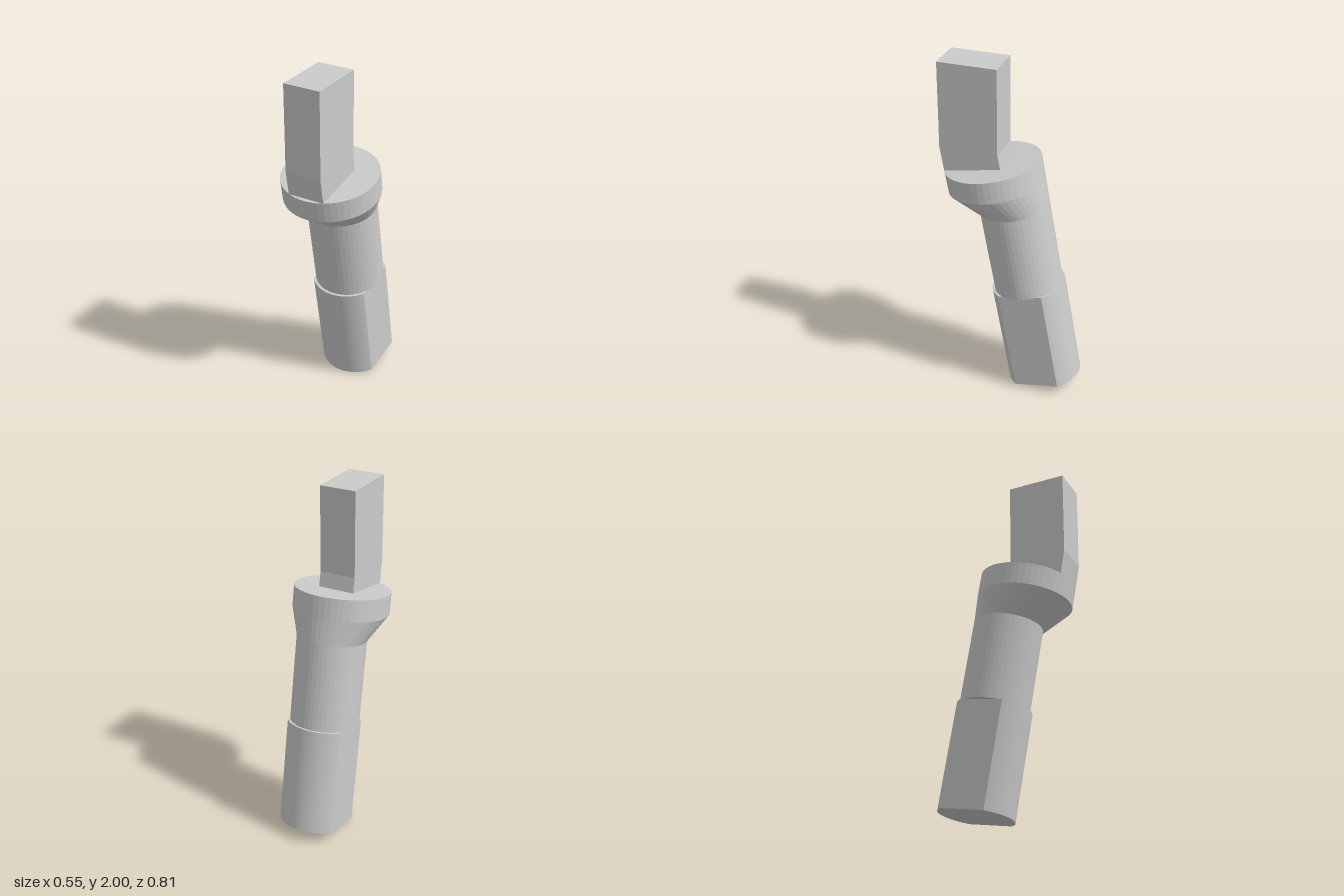
import * as THREE from 'three';

const material = new THREE.MeshStandardMaterial({ color: 0xcccccc, flatShading: true });

function part(name, geometry) {
  const mesh = new THREE.Mesh(geometry, material);
  mesh.name = name;
  return mesh;
}

// Round bar with a flat on each side, extruded upwards
function gripGeometry(radius, flatX, height) {
  const a = Math.acos(flatX / radius);
  const shape = new THREE.Shape();
  shape.absarc(0, 0, radius, a, Math.PI - a, false);
  shape.absarc(0, 0, radius, Math.PI + a, Math.PI * 2 - a, false);
  shape.closePath();
  const geometry = new THREE.ExtrudeGeometry(shape, { depth: height, bevelEnabled: false, curveSegments: 14 });
  return geometry.rotateX(-Math.PI / 2);
}

// Turned shaft that flares into a collar set off towards the front
function shaftGeometry() {
  const low = 1.125, high = 1.272, offset = 0.081;
  const profile = [[0, 0.62], [0.2, 0.62], [0.2, low], [0.276, high], [0.276, 1.398], [0, 1.398]];
  const geometry = new THREE.LatheGeometry(profile.map(([r, y]) => new THREE.Vector2(r, y)), 48);
  const pos = geometry.attributes.position;
  for (let i = 0; i < pos.count; i++) {
    const t = THREE.MathUtils.clamp((pos.getY(i) - low) / (high - low), 0, 1);
    pos.setZ(i, pos.getZ(i) + offset * t);
  }
  geometry.computeVertexNormals();
  return geometry;
}

// Flat tang: side outline (z, y) extruded across x
function tangGeometry(halfWidth) {
  const outline = [[0.38, 1.352], [0.405, 1.5], [0.405, 2], [0.065, 2], [0.065, 1.5], [0.047, 1.405]];
  const shape = new THREE.Shape(outline.map(([z, y]) => new THREE.Vector2(z, y)));
  const geometry = new THREE.ExtrudeGeometry(shape, { depth: halfWidth * 2, bevelEnabled: false });
  return geometry.translate(0, 0, -halfWidth).rotateY(-Math.PI / 2);
}

export function createModel() {
  const model = new THREE.Group();
  model.name = 'angledPost';

  // Leaning lower body
  const body = new THREE.Group();
  body.name = 'leaningBody';
  body.position.set(0, 0.038, -0.193);
  body.rotation.x = THREE.MathUtils.degToRad(10);
  body.add(part('flattenedGrip', gripGeometry(0.215, 0.17, 0.62)));
  body.add(part('shaftAndCollar', shaftGeometry()));

  // Upright bent tang
  model.add(body, part('tang', tangGeometry(0.108)));
  return model;
}
